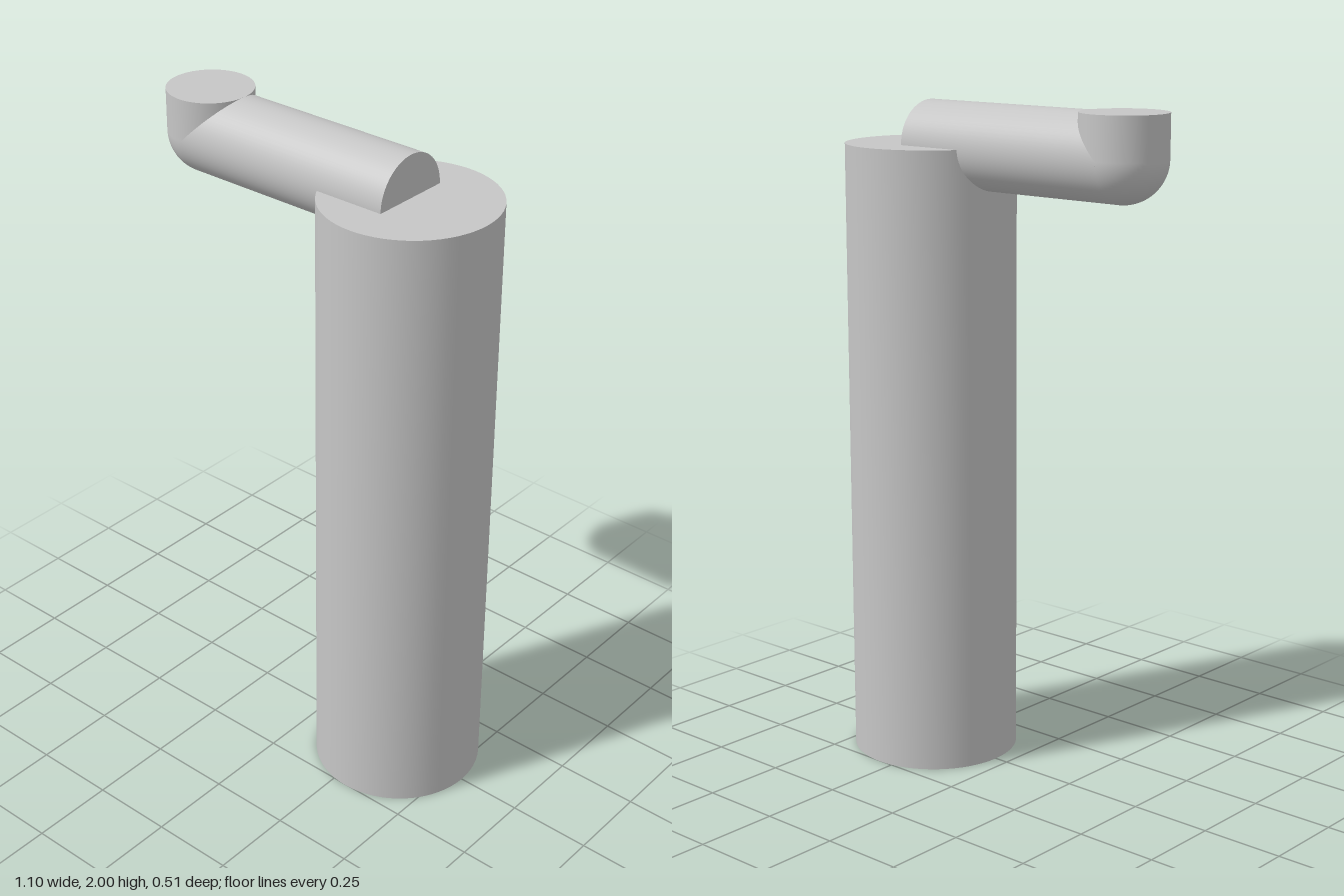
import * as THREE from 'three';

const POST_X = 0.297, POST_R = 0.253, POST_H = 1.874;
const ARM_R = 0.126, ELBOW_X = -0.424, TOP = 2;
const SEGMENTS = 64;

export function createModel() {
  const group = new THREE.Group();
  const grey = new THREE.MeshStandardMaterial({ name: 'light grey', color: 0xc6c6c6 });

  const add = (name, geometry, x, y) => {
    const mesh = new THREE.Mesh(geometry, grey);
    mesh.name = name;
    mesh.position.set(x, y, 0);
    group.add(mesh);
    return mesh;
  };

  // Tall upright post
  add('post', new THREE.CylinderGeometry(POST_R, POST_R, POST_H, SEGMENTS), POST_X, POST_H / 2);

  // Horizontal arm, half sunk into the post top and ending on its axis
  const armLength = POST_X - ELBOW_X;
  const arm = add('arm', new THREE.CylinderGeometry(ARM_R, ARM_R, armLength, SEGMENTS),
    (POST_X + ELBOW_X) / 2, POST_H);
  arm.rotation.z = -Math.PI / 2;

  // Rounded underside of the elbow
  add('elbow', new THREE.SphereGeometry(ARM_R, SEGMENTS, 24, 0, Math.PI * 2, Math.PI / 2, Math.PI / 2),
    ELBOW_X, POST_H);

  // Short upturned spout with a flat top
  const spoutHeight = TOP - POST_H;
  add('spout', new THREE.CylinderGeometry(ARM_R, ARM_R, spoutHeight, SEGMENTS),
    ELBOW_X, POST_H + spoutHeight / 2);

  return group;
}
